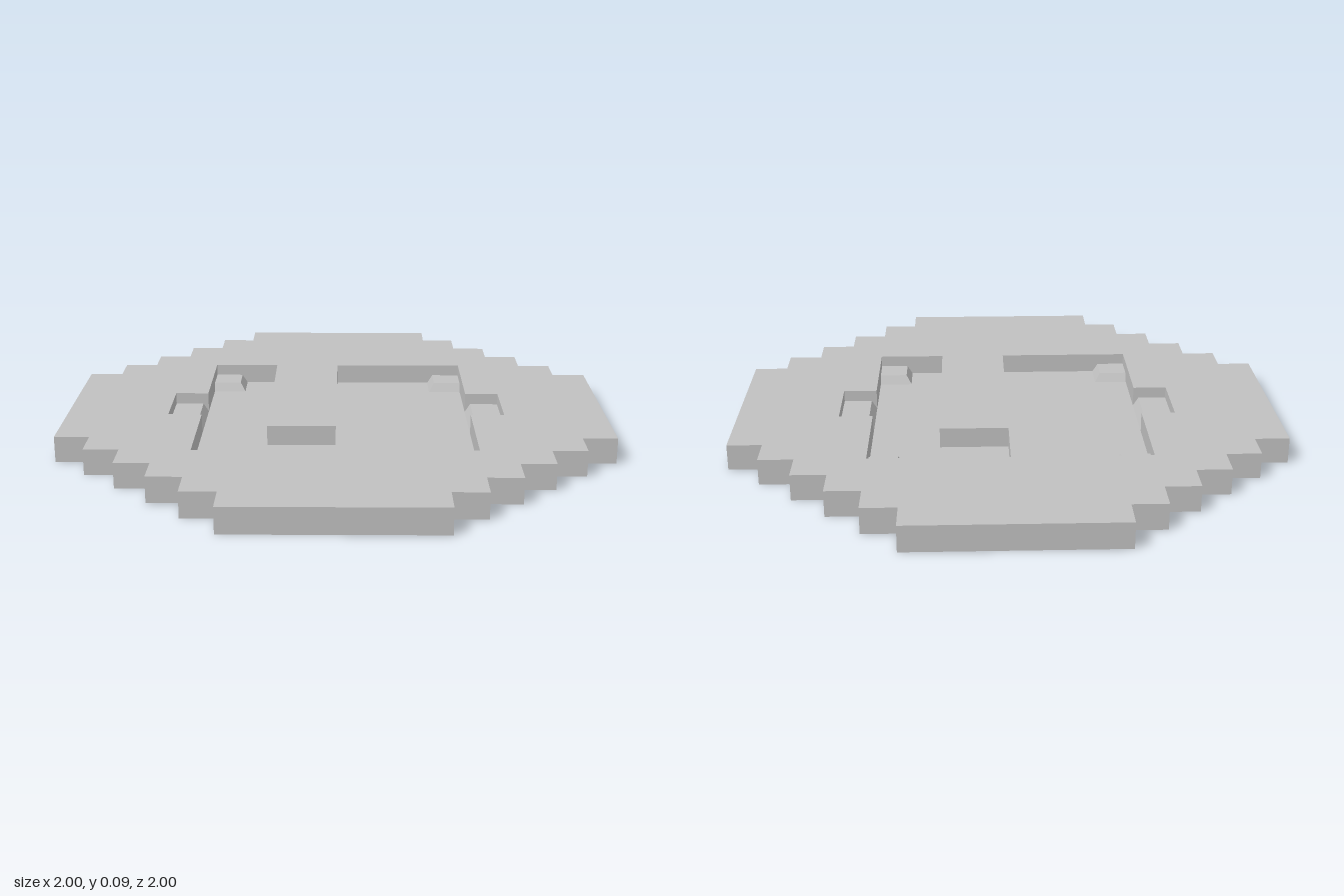
import * as THREE from 'three';

const HEIGHT = 0.094; // coin thickness
const FLOOR = 0.02;   // level of the pocket floors
const LEDGE = 0.052;  // level of the small bevelled blocks
const BEVEL = 0.02;
const STEP = 0.125;   // one stair step of the outline

// Extrudes a list of [x, z] points upward from y = 0
function slab(points, height, holes = []) {
  const toVectors = (list) => list.map(([x, z]) => new THREE.Vector2(x, z));
  const shape = new THREE.Shape(toVectors(points));
  for (const hole of holes) shape.holes.push(new THREE.Path(toVectors(hole)));
  const geometry = new THREE.ExtrudeGeometry(shape, { depth: height, bevelEnabled: false });
  return geometry.rotateX(Math.PI / 2).translate(0, height, 0);
}

// Block on the pocket floor whose top edges slope back on the sides facing the middle
function ledge(x, z, width, depth, bevelZ) {
  const geometry = new THREE.BoxGeometry(width, LEDGE - FLOOR, depth);
  const p = geometry.attributes.position;
  for (let i = 0; i < p.count; i++) {
    if (p.getY(i) < 0) continue;
    if (p.getX(i) * x < 0) p.setX(i, p.getX(i) + Math.sign(x) * BEVEL);
    if (bevelZ && p.getZ(i) * z < 0) p.setZ(i, p.getZ(i) + Math.sign(z) * BEVEL);
  }
  geometry.translate(x, (LEDGE + FLOOR) / 2, z);
  geometry.computeVertexNormals();
  return geometry;
}

export function createModel() {
  const group = new THREE.Group();
  group.name = 'coin';
  const grey = new THREE.MeshStandardMaterial({ color: 0xc0c0c0 });
  grey.name = 'light grey';

  const add = (name, geometry) => {
    const mesh = new THREE.Mesh(geometry, grey);
    mesh.name = name;
    group.add(mesh);
  };

  // Stepped outline: one staircase quadrant turned four times
  let quadrant = [[1, 0.375]];
  for (let i = 1; i <= 5; i++) {
    const x = 1 - i * STEP, z = 0.375 + i * STEP;
    quadrant.push([x, z - STEP], [x, z]);
  }
  const outline = [];
  for (let i = 0; i < 4; i++) {
    outline.push(...quadrant);
    quadrant = quadrant.map(([x, z]) => [-z, x]);
  }

  // L-shaped pocket with a side notch, and its half-turn twin
  const rightPocket = [
    [-0.5, -0.5], [-0.25, -0.5], [-0.25, 0.25], [0, 0.25], [0, 0.5], [-0.5, 0.5],
    [-0.5, 0.125], [-0.625, 0.125], [-0.625, -0.125], [-0.5, -0.125],
  ];
  const leftPocket = rightPocket.map(([x, z]) => [-x, -z]);

  add('coinBody', slab(outline, HEIGHT, [rightPocket, leftPocket]));
  add('rightPocketFloor', slab(rightPocket, FLOOR));
  add('leftPocketFloor', slab(leftPocket, FLOOR));

  // Bevelled blocks in the pocket corners and side notches
  for (const sx of [-1, 1]) {
    const side = sx > 0 ? 'left' : 'right';
    add(side + 'NotchLedge', ledge(sx * 0.5625, 0, STEP, 0.25, false));
    for (const sz of [-1, 1]) {
      const end = sz > 0 ? 'Front' : 'Back';
      add(side + end + 'CornerBlock', ledge(sx * 0.4375, sz * 0.4375, STEP, STEP, true));
    }
  }
  return group;
}
